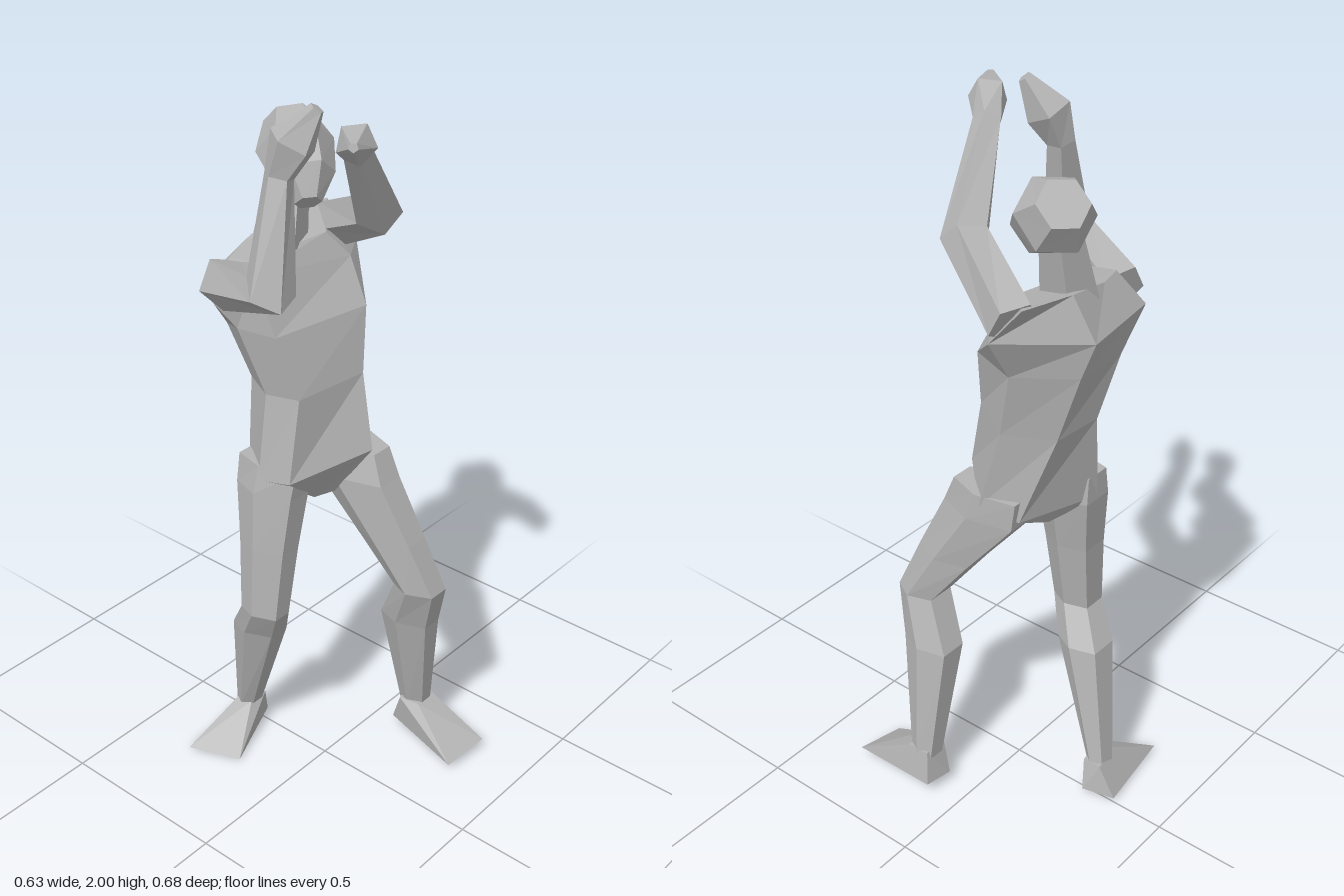
import * as THREE from 'three';
import { ConvexGeometry } from 'three/addons/geometries/ConvexGeometry.js';

const grey = new THREE.MeshStandardMaterial({ color: 0xb3b3b3 });
const V = (p) => new THREE.Vector3(p[0], p[1], p[2]);

// Skin a stack of rings (counter-clockwise seen from the end) with flat facets and closed ends.
function loft(rings) {
  const pos = [];
  const tri = (a, b, c) => pos.push(...a.toArray(), ...b.toArray(), ...c.toArray());
  const n = rings[0].length;
  const centre = (ring) => ring.reduce((s, p) => s.add(p), new THREE.Vector3()).divideScalar(n);
  const first = rings[0], last = rings[rings.length - 1];
  const c0 = centre(first), c1 = centre(last);
  for (let i = 0; i < n; i++) {
    const j = (i + 1) % n;
    for (let k = 0; k < rings.length - 1; k++) {
      const a = rings[k], b = rings[k + 1];
      tri(a[i], a[j], b[j]);
      tri(a[i], b[j], b[i]);
    }
    tri(first[j], first[i], c0);
    tri(last[i], last[j], c1);
  }
  const g = new THREE.BufferGeometry();
  g.setAttribute('position', new THREE.Float32BufferAttribute(pos, 3));
  g.computeVertexNormals();
  return g;
}

// Tapered limb through [x, y, z, radius] stations, sections square to the path.
function limb(stations, sides) {
  const pts = stations.map(V);
  return loft(pts.map((p, k) => {
    const dir = new THREE.Vector3();
    if (k > 0) dir.add(p.clone().sub(pts[k - 1]).normalize());
    if (k < pts.length - 1) dir.add(pts[k + 1].clone().sub(p).normalize());
    dir.normalize();
    const u = new THREE.Vector3(1, 0, 0);
    u.addScaledVector(dir, -u.dot(dir)).normalize();
    const v = dir.clone().cross(u);
    return Array.from({ length: sides }, (_, i) => {
      const t = ((i + 0.5) / sides) * Math.PI * 2, r = stations[k][3];
      return p.clone().addScaledVector(u, r * Math.cos(t)).addScaledVector(v, r * Math.sin(t));
    });
  }));
}

// Six-sided level section filling [y, xMin, xMax, zMin, zMax].
function section([y, x0, x1, z0, z1]) {
  const outline = [[1, 0.1], [0.65, -1], [-0.65, -1], [-1, -0.1], [-0.5, 1], [0.5, 1]];
  return outline.map(([a, b]) => new THREE.Vector3(
    (x0 + x1) / 2 + (a * (x1 - x0)) / 2, y, (z0 + z1) / 2 + (b * (z1 - z0)) / 2));
}

export function createModel() {
  const model = new THREE.Group();
  model.name = 'figure';
  const add = (name, geometry) => {
    const mesh = new THREE.Mesh(geometry, grey);
    mesh.name = name;
    model.add(mesh);
  };

  // Twisted torso: each ring runs left side, left back, right back, right side, right front, left front
  add('torso', loft([
    [[0.045, 0.88, -0.07], [0.04, 0.89, -0.13], [-0.02, 0.89, -0.14], [-0.03, 0.88, -0.08], [-0.02, 0.88, -0.02], [0.04, 0.88, 0]],
    [[0.19, 0.97, -0.02], [0.15, 0.94, -0.12], [-0.09, 0.93, -0.19], [-0.15, 0.96, -0.1], [-0.14, 0.98, 0], [0.085, 1.02, 0.09]],
    [[0.175, 1.2, -0.08], [0.1, 1.19, -0.2], [-0.05, 1.19, -0.21], [-0.115, 1.2, -0.1], [-0.1, 1.21, 0], [0.11, 1.22, 0.035]],
    [[0.19, 1.38, -0.12], [0.09, 1.38, -0.26], [-0.11, 1.36, -0.235], [-0.15, 1.38, -0.16], [-0.13, 1.38, -0.05], [0.15, 1.39, 0.01]],
    [[0.265, 1.5, -0.12], [0.08, 1.48, -0.295], [-0.17, 1.48, -0.26], [-0.19, 1.45, -0.2], [-0.14, 1.53, -0.11], [0.17, 1.5, -0.06]],
    [[0.24, 1.6, -0.2], [0.1, 1.6, -0.24], [-0.05, 1.57, -0.22], [-0.14, 1.56, -0.19], [-0.12, 1.56, -0.13], [0.12, 1.57, -0.1]],
  ].map((ring) => ring.map(V))));

  // Neck and forward-tilted head, from chin to crown
  add('neck', limb([[0.02, 1.55, -0.17, 0.075], [0.07, 1.73, -0.18, 0.055]], 5));
  add('head', limb([
    [0.03, 1.68, -0.08, 0.035], [0.06, 1.73, -0.12, 0.08],
    [0.1, 1.785, -0.185, 0.1], [0.135, 1.835, -0.235, 0.065],
  ], 6));

  // Arms raised in front of the head, with pointed hands
  add('leftArm', limb([
    [0.22, 1.55, -0.16, 0.065], [0.12, 1.67, 0.065, 0.063], [-0.055, 1.89, 0.14, 0.037],
    [-0.11, 1.93, 0.185, 0.05], [-0.18, 1.95, 0.235, 0.012],
  ], 5));
  add('rightArm', limb([
    [-0.16, 1.5, -0.19, 0.07], [-0.25, 1.575, 0.045, 0.066], [-0.18, 1.83, 0.015, 0.037],
    [-0.155, 1.91, 0.035, 0.06], [-0.12, 1.99, 0.08, 0.018],
  ], 5));

  // Legs from ankle up to hip: left stepping forward, right trailing
  add('leftLeg', loft([
    [0.11, 0.22, 0.295, 0.095, 0.17], [0.46, 0.135, 0.255, 0.075, 0.225], [0.6, 0.1, 0.225, 0.145, 0.268],
    [0.75, 0.07, 0.21, 0.03, 0.205], [0.92, 0.04, 0.198, -0.11, 0.125], [1.0, 0.06, 0.19, -0.12, 0.09],
  ].map(section)));
  add('rightLeg', loft([
    [0.08, -0.075, 0, -0.29, -0.235], [0.44, -0.155, -0.03, -0.225, -0.09], [0.54, -0.185, -0.08, -0.16, -0.04],
    [0.75, -0.175, -0.05, -0.17, -0.025], [0.92, -0.162, -0.02, -0.19, -0.01], [1.0, -0.145, -0.03, -0.19, 0],
  ].map(section)));

  // Wedge feet: ankle corners then sole corners
  add('leftFoot', new ConvexGeometry([
    [0.21, 0.13, 0.11], [0.29, 0.135, 0.1], [0.22, 0.13, 0.17], [0.29, 0.13, 0.17],
    [0.225, 0.035, 0.075], [0.31, 0.04, 0.085], [0.168, 0.02, 0.325], [0.31, 0.035, 0.342],
  ].map(V)));
  add('rightFoot', new ConvexGeometry([
    [-0.07, 0.1, -0.28], [0, 0.1, -0.29], [-0.06, 0.1, -0.235], [0, 0.1, -0.235],
    [0, 0.012, -0.342], [0.025, 0.015, -0.25], [-0.255, 0.01, -0.305], [-0.19, 0, -0.165],
  ].map(V)));

  // Faceted look: split every face and give it its own normal
  model.traverse((o) => {
    if (!o.isMesh) return;
    if (o.geometry.index) o.geometry = o.geometry.toNonIndexed();
    o.geometry.computeVertexNormals();
  });
  return model;
}
